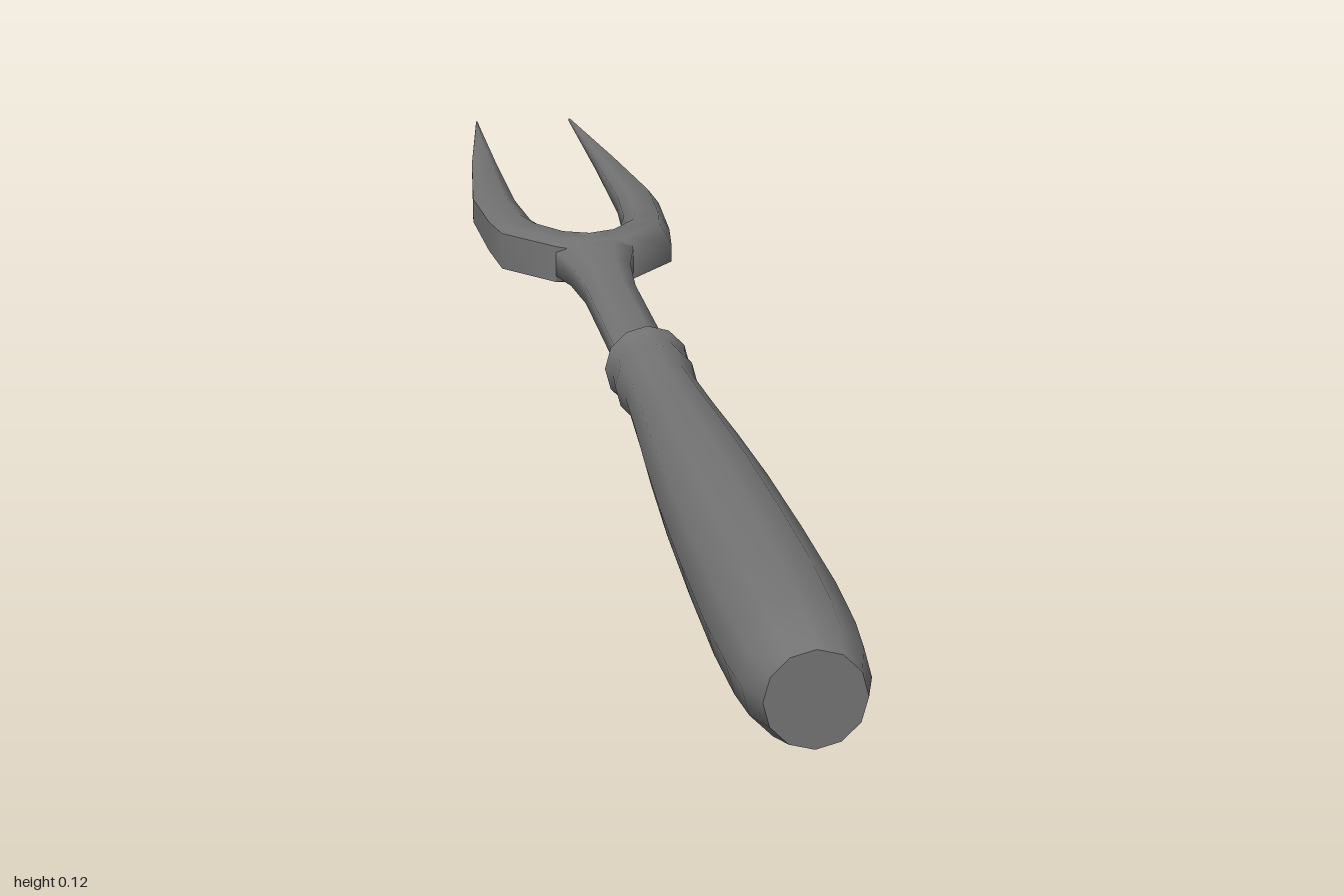
import * as THREE from 'three';
import { toCreasedNormals } from 'three/addons/utils/BufferGeometryUtils.js';

const MID_Y = 0.062;

// Skin closed rings of points, fan-capping both ends
function loft(rings) {
  const n = rings[0].length, pos = rings.flat(2), idx = [];
  for (let i = 0; i < rings.length - 1; i++) {
    for (let j = 0; j < n; j++) {
      const a = i * n + j, b = i * n + (j + 1) % n;
      idx.push(a, b, b + n, a, b + n, a + n);
    }
  }
  const last = (rings.length - 1) * n;
  for (let j = 1; j < n - 1; j++) {
    idx.push(0, j + 1, j, last, last + j, last + j + 1);
  }
  const g = new THREE.BufferGeometry();
  g.setAttribute('position', new THREE.Float32BufferAttribute(pos, 3));
  g.setIndex(idx);
  return toCreasedNormals(g, 1.2);
}

// Chamfered section spanning from inner point to outer point, both [x, z]
function section(inner, outer, halfHeight, [low, high] = [-0.6, 0.6]) {
  const shape = [[0, -0.6], [0, 0.6], [0.25, 1], [0.75, 1], [1, high], [1, low], [0.75, -1], [0.25, -1]];
  return shape.map(([u, v]) => [
    inner[0] + (outer[0] - inner[0]) * u,
    MID_Y + v * halfHeight,
    inner[1] + (outer[1] - inner[1]) * u,
  ]);
}

export function createModel() {
  const group = new THREE.Group();
  const material = new THREE.MeshStandardMaterial({ color: 0x747474 });
  const add = (name, geometry) => {
    const mesh = new THREE.Mesh(geometry, material);
    mesh.name = name;
    group.add(mesh);
    return mesh;
  };

  // Turned handle with a recessed, lightly flared collar: [radius, z]
  const profile = [
    [0, 0.115], [0.036, 0.115], [0.039, 0.1], [0.045, 0.1], [0.043, 0.112], [0.04, 0.125],
    [0.043, 0.16], [0.038, 0.2], [0.043, 0.3], [0.049, 0.4], [0.055, 0.53], [0.059, 0.68],
    [0.061, 0.82], [0.059, 0.91], [0.055, 0.96], [0.044, 1], [0, 1],
  ].map(([r, z]) => new THREE.Vector2(r, z));
  const handle = add('handle', toCreasedNormals(new THREE.LatheGeometry(profile, 12), 0.65));
  handle.rotation.x = Math.PI / 2;
  handle.position.y = MID_Y;

  // Shaft flaring into the fork: [z, half width, half height]
  add('shaft', loft([
    [0.14, 0.028, 0.015], [-0.17, 0.028, 0.016], [-0.25, 0.034, 0.02],
    [-0.3, 0.045, 0.0235], [-0.34, 0.05, 0.0245],
  ].map(([z, w, h]) => section([-w, z], [w, z], h))));

  // Two tines as one sweep from tip to tip: inner [x, z], outer [x, z], half height
  const half = [
    [[0.025, -0.368], [0.045, -0.3], 0.025],
    [[0.045, -0.4], [0.1, -0.365], 0.025],
    [[0.056, -0.45], [0.108, -0.43], 0.021],
    [[0.063, -0.55], [0.114, -0.55], 0.017],
    [[0.063, -0.75], [0.094, -0.75], 0.009],
    [[0.061, -0.99], [0.063, -0.99], 0.002],
  ];
  const flip = ([x, z]) => [-x, z];
  add('tines', loft([
    ...half.map(([a, b, h]) => section(flip(a), flip(b), h, [-0.85, 0.85])).reverse(),
    section([0, -0.36], [0, -0.29], 0.024),
    ...half.map(([a, b, h]) => section(a, b, h, [-0.85, 0])),
  ]));

  return group;
}
